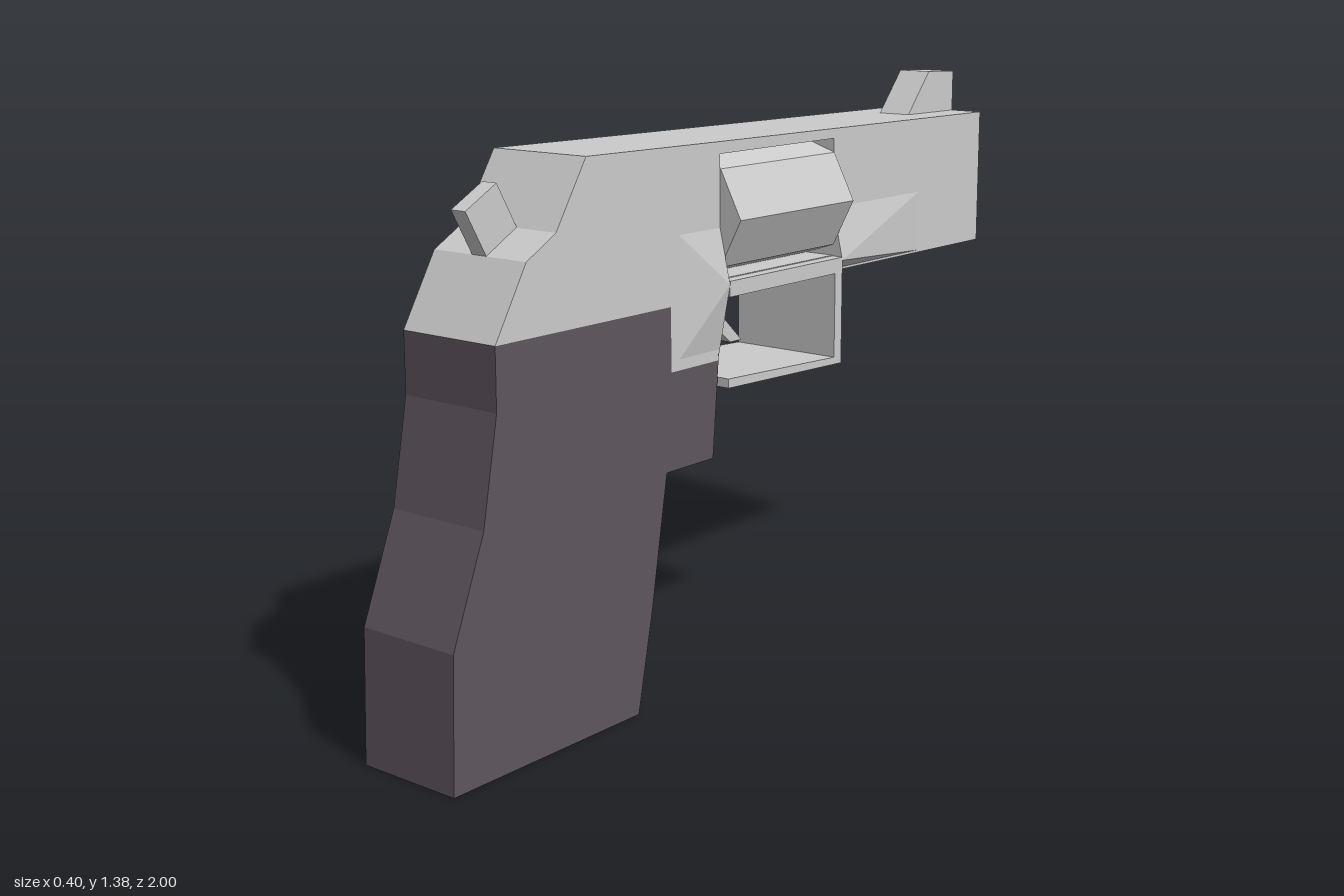
import * as THREE from 'three';
import { ConvexGeometry } from 'three/addons/geometries/ConvexGeometry.js';

const metal = new THREE.MeshStandardMaterial({ color: 0xcccccc, flatShading: true });
const dark = new THREE.MeshStandardMaterial({ color: 0x5e555e, flatShading: true });

const toPoints = (list) => list.map(([z, y]) => new THREE.Vector2(z, y));

// Side profile of [z, y] points, extruded across x from x0 to x1.
function slab(name, profile, x0, x1, material = metal, hole) {
  const shape = new THREE.Shape(toPoints(profile));
  if (hole) shape.holes.push(new THREE.Path(toPoints(hole)));
  const geometry = new THREE.ExtrudeGeometry(shape, { depth: x1 - x0, bevelEnabled: false });
  geometry.rotateY(-Math.PI / 2).translate(x1, 0, 0);
  const mesh = new THREE.Mesh(geometry, material);
  mesh.name = name;
  return mesh;
}

// Shallow pyramid on the left side of the frame, rising to the guard's edge.
function flare(name, zOuter, zInner, yLow, yHigh) {
  const points = [];
  for (const z of [zOuter, zInner]) for (const y of [yLow, yHigh]) points.push(new THREE.Vector3(0.135, y, z));
  points.push(new THREE.Vector3(0.17, 0.96, zInner));
  const mesh = new THREE.Mesh(new ConvexGeometry(points), metal);
  mesh.name = name;
  return mesh;
}

export function createModel() {
  const model = new THREE.Group();
  model.name = 'revolver';
  const left = 0.14, right = -0.13;

  // Frame and barrel in one block, with a window for the drum
  model.add(slab('frame', [
    [0.85, 0.93], [0.755, 1.09], [0.665, 1.14], [0.57, 1.29], [0.12, 1.285], [-1, 1.275],
    [-1, 0.93], [0.125, 0.93], [0.125, 0.78], [0.295, 0.78], [0.295, 0.93],
  ], right, left, metal, [[0.12, 0.97], [0.12, 1.257], [-0.325, 1.257], [-0.325, 0.97]]));

  // Grip
  model.add(slab('grip', [
    [0.85, 0.93], [0.85, 0.79], [0.895, 0.55], [0.99, 0.31], [1, 0], [0.415, 0],
    [0.365, 0.24], [0.312, 0.55], [0.145, 0.55], [0.125, 0.78], [0.295, 0.78], [0.295, 0.93],
  ], right, left, dark));

  // Eight-sided drum, slightly flattened
  const drumGeometry = new THREE.CylinderGeometry(0.2, 0.2, 0.445, 8);
  drumGeometry.rotateX(Math.PI / 2).scale(1, 0.8, 1);
  const drum = new THREE.Mesh(drumGeometry, metal);
  drum.name = 'drum';
  drum.position.set(0, 1.11, -0.1025);
  model.add(drum);

  // Trigger guard, the bar above it and the flares beside it
  model.add(slab('triggerGuard', [
    [0.125, 0.74], [-0.295, 0.722], [-0.295, 0.94], [-0.325, 0.94], [-0.325, 0.703], [0.125, 0.718],
  ], right, 0.17));
  model.add(slab('guardBar', [[0.12, 0.931], [0.12, 0.968], [-0.325, 0.968], [-0.325, 0.931]], right + 0.002, 0.17));
  model.add(flare('rearFlare', 0.29, 0.12, 0.78, 1.11));
  model.add(flare('frontFlare', -0.77, -0.325, 0.932, 1.11));

  // Trigger
  model.add(slab('trigger', [
    [0.015, 0.94], [-0.03, 0.94], [-0.03, 0.85], [-0.108, 0.778], [-0.065, 0.778], [0.015, 0.84],
  ], -0.017, 0.025));

  // Hammer
  model.add(slab('hammer', [[0.812, 1.19], [0.72, 1.24], [0.645, 1.11], [0.74, 1.065]], -0.017, 0.025));

  // Front sight at the muzzle
  model.add(slab('frontSight', [[-0.78, 1.27], [-0.88, 1.385], [-1, 1.38], [-1, 1.27]], -0.038, 0.052));

  return model;
}
